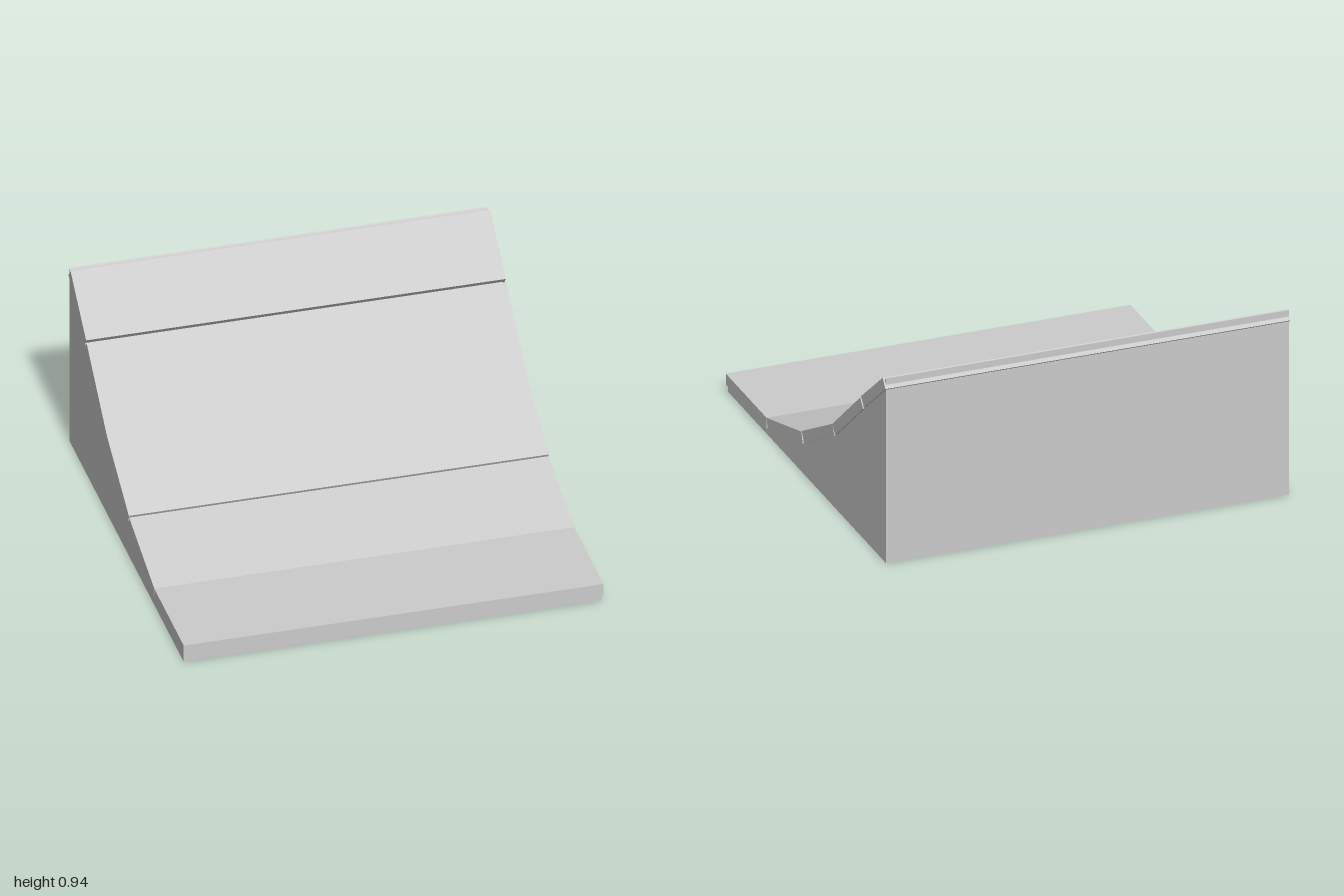
import * as THREE from 'three';

export function createModel() {
  const ramp = new THREE.Group();
  ramp.name = 'ramp';
  const material = new THREE.MeshStandardMaterial({ color: 0xcccccc, flatShading: true });

  // Solid wedge under the planks: [z, y] side profile, extruded along x
  const profile = [
    [0.995, 0], [0.995, 0.06], [0.485, 0.06], [0.05, 0.185], [-0.33, 0.39],
    [-0.68, 0.68], [-0.705, 0.69], [-0.965, 0.915], [-0.975, 0.935], [-0.982, 0.94], [-0.982, 0],
  ];
  const shape = new THREE.Shape(profile.map(([z, y]) => new THREE.Vector2(-z, y)));
  const baseGeometry = new THREE.ExtrudeGeometry(shape, { depth: 1.991, bevelEnabled: false });
  baseGeometry.rotateY(Math.PI / 2); // profile -z, extrusion +x
  baseGeometry.translate(-0.999, 0, 0);
  const base = new THREE.Mesh(baseGeometry, material);
  base.name = 'base';
  ramp.add(base);

  // Full-width planks laid on the curve, from the front lip to the top edge
  const thickness = 0.055;
  const planks = [
    [1, 0.09, 0.49, 0.09],
    [0.49, 0.09, 0.055, 0.212],
    [0.05, 0.218, -0.33, 0.422],
    [-0.33, 0.422, -0.68, 0.711],
    [-0.69, 0.722, -0.96, 0.935],
  ];
  planks.forEach(([z0, y0, z1, y1], i) => {
    const length = Math.hypot(z1 - z0, y1 - y0);
    const geometry = new THREE.BoxGeometry(2, thickness, length);
    geometry.translate(0, -thickness / 2, 0); // top face on the walking line
    const plank = new THREE.Mesh(geometry, material);
    plank.name = `plank${i + 1}`;
    plank.position.set(0, (y0 + y1) / 2, (z0 + z1) / 2);
    plank.rotation.x = Math.atan2(y1 - y0, z0 - z1);
    ramp.add(plank);
  });

  return ramp;
}
